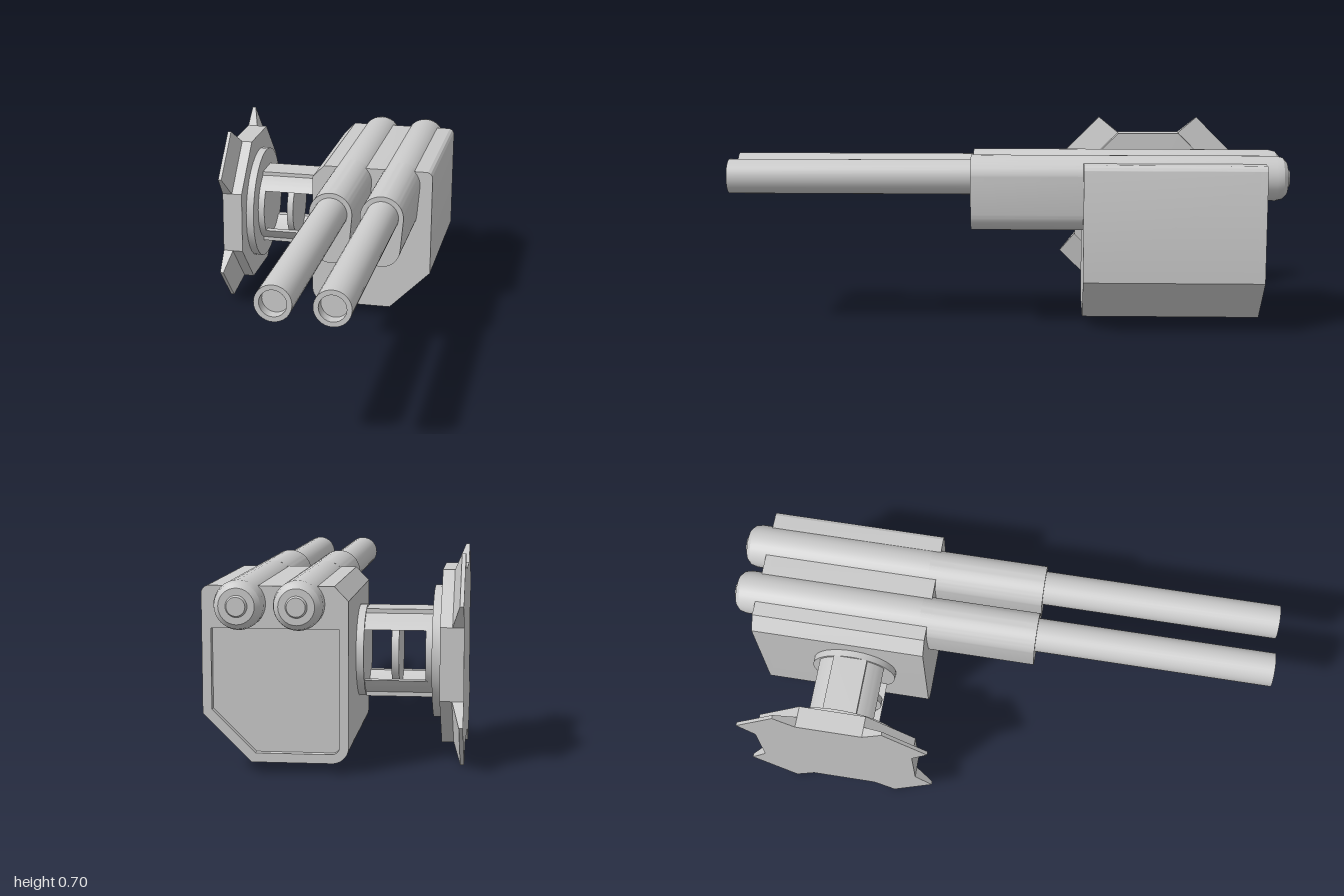
import * as THREE from 'three';
import { toCreasedNormals } from 'three/addons/utils/BufferGeometryUtils.js';
import { ConvexGeometry } from 'three/addons/geometries/ConvexGeometry.js';

const CY = 0.35, CZ = -0.54; // axis of the side mount
const smooth = new THREE.MeshStandardMaterial({ color: 0xcccccc });
const flat = new THREE.MeshStandardMaterial({ color: 0xcccccc, flatShading: true });

function add(parent, name, geometry, material = smooth) {
  const mesh = new THREE.Mesh(geometry, material);
  mesh.name = name;
  parent.add(mesh);
  return mesh;
}

// Extrude a front-facing shape between two z values
function slab(shape, z0, z1) {
  const g = new THREE.ExtrudeGeometry(shape, { depth: z1 - z0, bevelEnabled: false, curveSegments: 16 });
  g.translate(0, 0, z0);
  return toCreasedNormals(g, 0.5);
}

// Disc around the mount axis, between two x values
function disc(r, x0, x1, sides = 32) {
  const g = new THREE.CylinderGeometry(r, r, x1 - x0, sides);
  g.rotateY(Math.PI / sides).rotateZ(Math.PI / 2);
  return g.translate((x0 + x1) / 2, 0, 0);
}

// Housing outline: rounded lower left, cut lower right
function housingShape() {
  const s = new THREE.Shape();
  s.moveTo(0, 0.035);
  s.lineTo(0.26, 0.035);
  s.lineTo(0.418, 0.192);
  s.lineTo(0.418, 0.582);
  s.absarc(0.393, 0.582, 0.025, 0, Math.PI / 2);
  s.lineTo(-0.01, 0.607);
  s.lineTo(-0.055, 0.56);
  s.lineTo(-0.055, 0.09);
  s.absarc(0, 0.09, 0.055, Math.PI, Math.PI * 1.5);
  return s;
}

function createHousing() {
  const housing = new THREE.Group();
  housing.name = 'housing';
  add(housing, 'housingBody', slab(housingShape(), -0.885, -0.27));

  // Rim around the recessed rear panel
  const rim = housingShape();
  const hole = new THREE.Path();
  hole.moveTo(0, 0.065);
  hole.lineTo(0.247, 0.065);
  hole.lineTo(0.388, 0.205);
  hole.lineTo(0.388, 0.47);
  hole.lineTo(-0.025, 0.47);
  hole.lineTo(-0.025, 0.09);
  hole.absarc(0, 0.09, 0.025, Math.PI, Math.PI * 1.5);
  rim.holes.push(hole);
  add(housing, 'rearRim', slab(rim, -0.91, -0.885));
  return housing;
}

function createGun(x) {
  const gun = new THREE.Group();
  gun.name = 'gun';

  // Teardrop sleeve: wide arc above, narrower arc below
  const a = 0.083, s = new THREE.Shape();
  s.absarc(0, 0, 0.08, -a, Math.PI + a);
  s.absarc(0, -0.12, 0.07, Math.PI + a, 2 * Math.PI - a);
  add(gun, 'sleeve', slab(s, -0.3, 0.13));

  // Turned parts, profiles given as [radius, z]
  const turned = (name, profile) => {
    const pts = profile.map(([r, z]) => new THREE.Vector2(r, z));
    const g = new THREE.LatheGeometry(pts, 32).rotateX(Math.PI / 2);
    add(gun, name, toCreasedNormals(g, 0.4));
  };
  turned('barrel', [[0.062, 0.1], [0.062, 1], [0.045, 1], [0.045, 0.96], [0, 0.96]]);
  turned('breech', [[0, -1], [0.03, -1], [0.035, -0.99], [0.058, -0.99],
    [0.074, -0.975], [0.08, -0.95], [0.08, -0.25], [0, -0.25]]);
  gun.position.set(x, 0.55, 0);
  return gun;
}

function createMount() {
  const mount = new THREE.Group();
  mount.name = 'sideMount';

  // Octagonal plate with four flared corner teeth
  const R = 0.29 / Math.cos(Math.PI / 8);
  add(mount, 'mountPlate', disc(R, -0.418, -0.34, 8), flat);
  const points = [];
  for (const [x, u, v] of [[-0.418, 0.29, 0.12], [-0.38, 0.29, 0.12], [-0.418, 0.35, 0.195], [-0.405, 0.35, 0.195]]) {
    points.push(new THREE.Vector3(x, u, v), new THREE.Vector3(x, v, u));
  }
  for (let i = 0; i < 4; i++) {
    const tooth = add(mount, 'plateTooth', new ConvexGeometry(points), flat);
    tooth.rotation.x = i * Math.PI / 2;
  }

  // Stepped discs and end collars
  const steps = [['flange', 0.225, -0.34, -0.31], ['neckRing', 0.148, -0.31, -0.285],
    ['collar', 0.157, -0.08, -0.05], ['partition', 0.126, -0.195, -0.17]];
  for (const [name, r, x0, x1] of steps) {
    add(mount, name, toCreasedNormals(disc(r, x0, x1), 0.5));
  }

  // Hollow neck: upper and lower shells with open windows between
  const ro = 0.148, ri = 0.124, h = 0.085;
  const ao = Math.asin(h / ro), ai = Math.asin(h / ri);
  const arc = new THREE.Shape();
  arc.absarc(0, 0, ro, ao, Math.PI - ao);
  arc.absarc(0, 0, ri, Math.PI - ai, ai, true);
  for (const turn of [0, Math.PI]) {
    const shell = new THREE.Group();
    shell.name = 'neckShell';
    add(shell, 'neckArc', slab(arc, -0.29, -0.07).rotateY(Math.PI / 2));
    add(shell, 'neckStrip', new THREE.BoxGeometry(0.23, 0.022, 0.125).translate(-0.195, 0.138, 0));
    shell.rotation.x = turn;
    mount.add(shell);
  }
  mount.position.set(0, CY, CZ);
  return mount;
}

export function createModel() {
  const model = new THREE.Group();
  model.name = 'twinGunTurret';
  model.add(createHousing(), createMount());
  for (const x of [0.1, 0.29]) model.add(createGun(x));
  return model;
}
